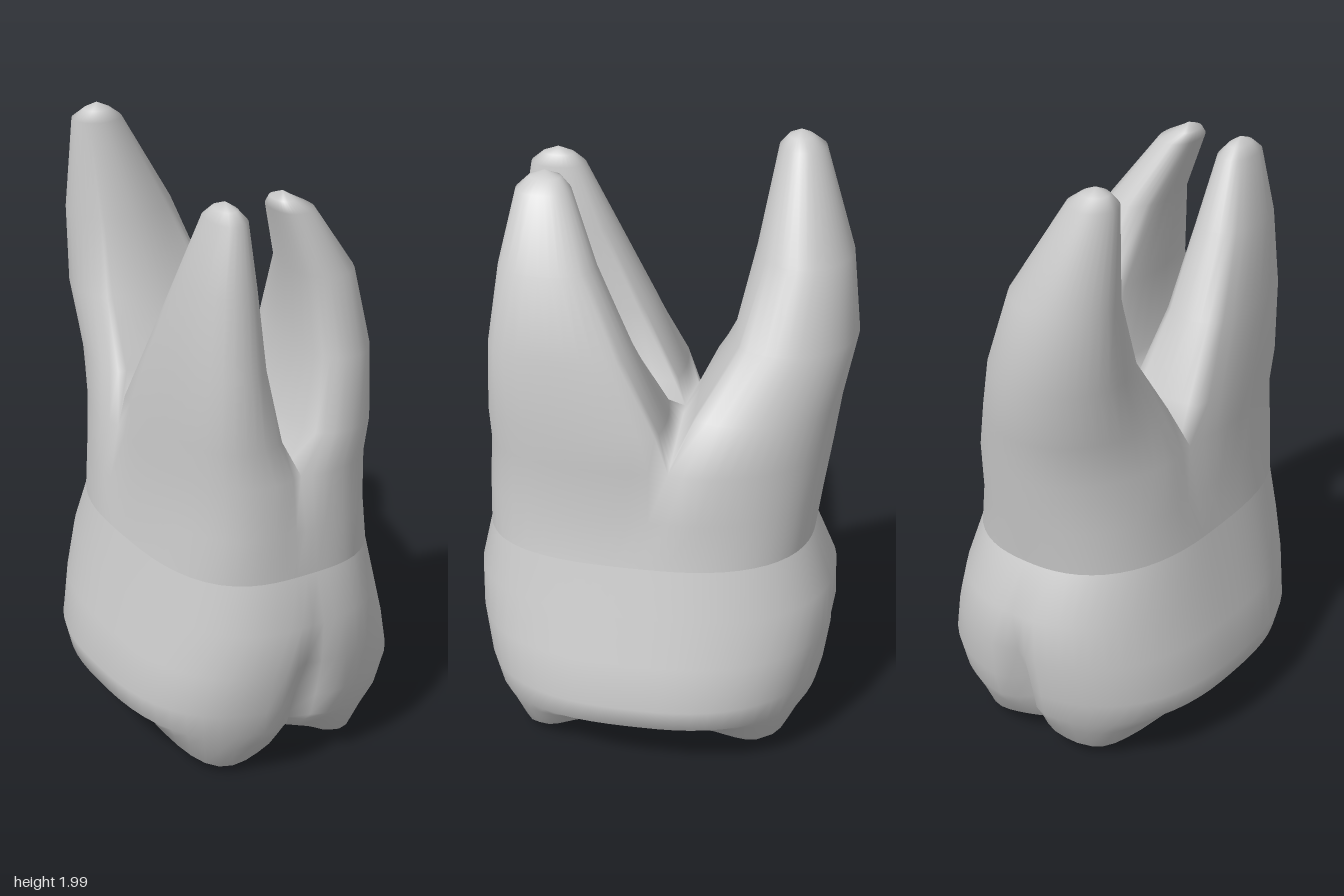
import * as THREE from 'three';
import { mergeGeometries, mergeVertices } from 'three/addons/utils/BufferGeometryUtils.js';

const N = 64; // points round a full section
const V = (x, y, z) => new THREE.Vector3(x, y, z);
const { lerp, smoothstep } = THREE.MathUtils;
const bell = (d, width) => Math.exp(-((d / width) ** 2));

// Rounded-square point at an angle, on a unit radius (2 is a circle, more is squarer)
function rounded(angle, n) {
  const c = Math.cos(angle), s = Math.sin(angle);
  const r = (Math.abs(c) ** n + Math.abs(s) ** n) ** (-1 / n);
  return [c * r, s * r];
}

// Closed section round a centre, with its own reach to each side, a corner
// squareness for front and back, and a vertical groove in the front and back
function section(y, [x0, x1, z0, z1], [cx, cz], [nFront, nBack], groove = 0, scale = 1) {
  return Array.from({ length: N }, (_, i) => {
    const a = (i / N) * Math.PI * 2;
    const [u, v] = rounded(a, i < N / 2 ? nFront : nBack);
    const pinch = scale * (1 - groove * bell(Math.cos(a), 0.09));
    return V(cx + u * (u > 0 ? x1 - cx : cx - x0) * pinch, y,
      cz + v * (v > 0 ? z1 - cz : cz - z0) * pinch);
  });
}

// Skin a stack of closed rings, lowest first
function loft(rings) {
  const n = rings[0].length, pos = [], index = [];
  rings.forEach(r => r.forEach(p => pos.push(p.x, p.y, p.z)));
  for (let i = 0; i < rings.length - 1; i++) {
    for (let j = 0; j < n; j++) {
      const a = i * n + j, b = i * n + (j + 1) % n;
      index.push(a, a + n, b, b, a + n, b + n);
    }
  }
  const g = new THREE.BufferGeometry();
  g.setAttribute('position', new THREE.Float32BufferAttribute(pos, 3));
  g.setIndex(index);
  return g;
}

function smoothMesh(name, parts) {
  const g = mergeVertices(mergeGeometries(parts), 1e-4);
  g.computeVertexNormals();
  const mesh = new THREE.Mesh(g, new THREE.MeshStandardMaterial({ color: 0xcccccc, roughness: 0.8 }));
  mesh.name = name;
  return mesh;
}

// Neck line shared by crown and roots
const NECK = [0.73, [-0.38, 0.35, -0.49, 0.56], [-0.015, 0], [3, 2.4]];

// Chewing surface: four cusps pointing down around a central hollow
const CUSPS = [[-0.22, 0.38], [0.22, 0.38], [-0.18, -0.32], [0.18, -0.32]];
function biteHeight(x, z) {
  const hollow = 0.2 + 0.08 * bell(Math.hypot(x, z - 0.04), 0.17);
  return CUSPS.reduce((y, [cx, cz]) => y - 0.19 * bell(x - cx, 0.19) * bell(z - cz, 0.24), hollow);
}

function crown() {
  const centre = [-0.015, 0], corners = [2.7, 2.35];
  const belly = [-0.48, 0.48, -0.545, 0.57];
  const rings = [0, 0.12, 0.24, 0.36, 0.48, 0.6, 0.7, 0.78, 0.84, 0.9, 0.96].map(s => {
    const ring = section(0, belly, centre, corners, 0.13, s);
    const t = smoothstep((1 - s) / 0.19, 0, 1);
    ring.forEach(p => { p.y = lerp(0.2, biteHeight(p.x, p.z), t); });
    return ring;
  });
  rings.push(
    section(0.28, belly, centre, corners, 0.12),
    section(0.42, [-0.45, 0.44, -0.565, 0.595], centre, corners, 0.05),
    section(0.57, [-0.415, 0.395, -0.56, 0.598], centre, corners),
    section(...NECK));
  return smoothMesh('crown', [loft(rings)]);
}

// Root sections: height, then x and z bounds
const FRONT_RIGHT = [
  [1.17, -0.347, -0.07, -0.035, 0.54], [1.4, -0.33, -0.1, 0.07, 0.525],
  [1.65, -0.3, -0.11, 0.19, 0.49], [1.85, -0.25, -0.14, 0.285, 0.455],
  [1.88, -0.225, -0.165, 0.32, 0.42]];
const FRONT_LEFT = [
  [1.17, 0.03, 0.317, -0.035, 0.54], [1.4, 0.06, 0.29, 0.07, 0.525],
  [1.65, 0.03, 0.225, 0.19, 0.49], [1.85, -0.04, 0.085, 0.285, 0.455],
  [1.88, -0.035, 0.03, 0.32, 0.42]];
const BACK = [
  [1.2, -0.32, 0.25, -0.555, -0.11], [1.4, -0.31, 0.15, -0.595, -0.21],
  [1.65, -0.3, 0.05, -0.565, -0.265], [1.95, -0.29, -0.13, -0.46, -0.315],
  [1.98, -0.255, -0.17, -0.42, -0.34]];

// A root grows from one sector of the trunk top and rounds off to its tip
function root(top, centre, from, to, levels, roundness) {
  const base = [];
  for (let i = from; i <= to; i++) base.push(top[i % N]);
  const start = top[from % N], end = top[to % N], steps = 8;
  for (let k = 1; k <= steps; k++) base.push(end.clone().lerp(centre, k / steps));
  for (let k = 1; k < steps; k++) base.push(centre.clone().lerp(start, k / steps));

  const box = new THREE.Box3().setFromPoints(base);
  const mid = box.getCenter(V(0, 0, 0)), half = box.getSize(V(0, 0, 0)).multiplyScalar(0.5);
  const rings = [base];
  levels.forEach(([y, x0, x1, z0, z1], level) => {
    const w = Math.min(1, 0.25 + level * 0.4); // sector shape fades to round
    rings.push(base.map(p => {
      const u = (p.x - mid.x) / half.x, v = (p.z - mid.z) / half.z;
      const [ru, rv] = rounded(Math.atan2(v, u), roundness);
      return V((x0 + x1) / 2 + lerp(u, ru, w) * (x1 - x0) / 2, y,
        (z0 + z1) / 2 + lerp(v, rv, w) * (z1 - z0) / 2);
    }));
  });
  const [y, x0, x1, z0, z1] = levels.at(-1);
  rings.push(base.map(() => V((x0 + x1) / 2, y + 0.02, (z0 + z1) / 2)));
  return loft(rings);
}

function roots() {
  const c = [-0.02, -0.06];
  // Trunk, its top edge furrowed where the three roots part
  const top = section(1.05, [-0.35, 0.32, -0.535, 0.545], c, [3.6, 2.1]);
  top.forEach((p, i) => {
    const a = (i / N) * Math.PI * 2;
    p.x *= 1 - 0.06 * bell(Math.sin(a), 0.15);
    if (i < N / 2) p.z *= 1 - 0.04 * bell(Math.cos(a), 0.12);
  });
  const trunk = loft([
    section(...NECK),
    section(0.88, [-0.36, 0.32, -0.51, 0.555], c, [3.5, 2.2]),
    top]);
  const centre = V(c[0], 1.12, c[1]);
  return smoothMesh('roots', [
    trunk,
    root(top, centre, 0, N / 4, FRONT_LEFT, 2.3),
    root(top, centre, N / 4, N / 2, FRONT_RIGHT, 2.3),
    root(top, centre, N / 2, N, BACK, 1.9)]);
}

export function createModel() {
  const group = new THREE.Group();
  group.name = 'molarTooth';
  group.add(crown(), roots());
  return group;
}
